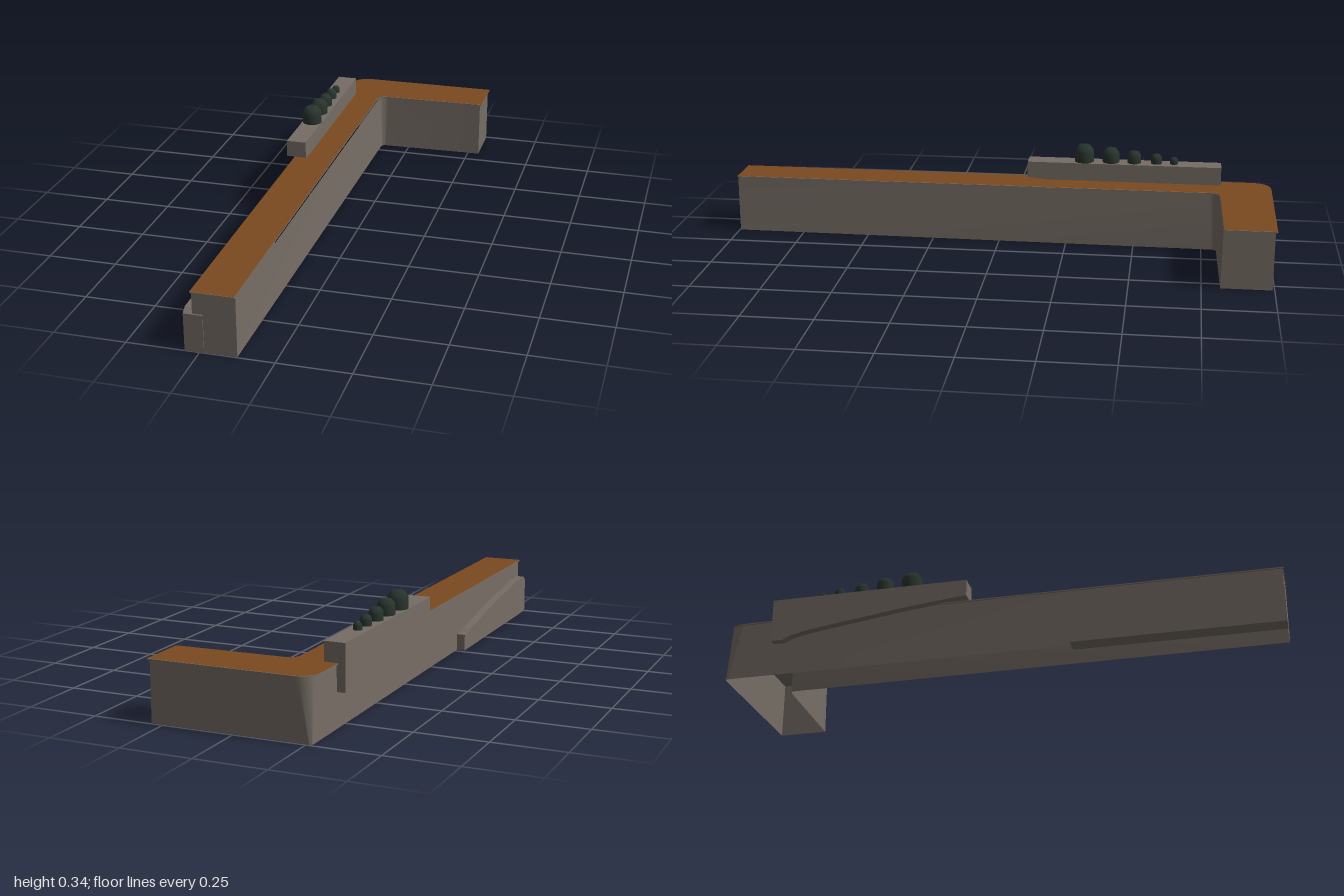
import * as THREE from 'three';
import { toCreasedNormals } from 'three/addons/utils/BufferGeometryUtils.js';

const mat = (name, color, side = THREE.FrontSide) => {
  const m = new THREE.MeshStandardMaterial({ color, side });
  m.name = name;
  return m;
};

// L-shaped plan, drawn in x and -z, with rounded outer and inner corners
function plan({ left, right, inner, innerZ, tip, tipZ, front, back, rOut, rIn }) {
  const s = new THREE.Shape();
  s.moveTo(left, -front);
  s.lineTo(right, -front);
  s.lineTo(inner, -innerZ - rIn);
  s.quadraticCurveTo(inner, -innerZ, inner + rIn, -innerZ);
  s.lineTo(tip, -tipZ);
  s.lineTo(tip, -back);
  s.lineTo(left + rOut, -back);
  s.quadraticCurveTo(left, -back, left, -back - rOut);
  s.lineTo(left, -front);
  return s;
}

// Walls joining a lower and an upper plan
function loft(lower, upper, y0, y1) {
  const a = lower.getPoints(8), b = upper.getPoints(8), pos = [];
  for (let i = 0; i < a.length - 1; i++) {
    const p = [a[i].x, y0, -a[i].y], q = [a[i + 1].x, y0, -a[i + 1].y];
    const r = [b[i + 1].x, y1, -b[i + 1].y], t = [b[i].x, y1, -b[i].y];
    pos.push(...p, ...q, ...r, ...p, ...r, ...t);
  }
  const g = new THREE.BufferGeometry();
  g.setAttribute('position', new THREE.Float32BufferAttribute(pos, 3));
  return toCreasedNormals(g, 0.8);
}

// Bar with a [z, y] side profile, running from x0 to x1
function bar(profile, x0, x1) {
  const s = new THREE.Shape(profile.map(([z, y]) => new THREE.Vector2(-z, y)));
  const g = new THREE.ExtrudeGeometry(s, { depth: x1 - x0, bevelEnabled: false });
  return g.rotateY(Math.PI / 2).translate(x0, 0, 0);
}

export function createModel() {
  const group = new THREE.Group();
  const stone = mat('stone grey', 0x766d65, THREE.DoubleSide);
  const wood = mat('wood brown', 0x7c4a20);
  const green = mat('dark green', 0x28332c);
  const add = (name, geometry, material) => {
    const m = new THREE.Mesh(geometry, material);
    m.name = name;
    group.add(m);
    return m;
  };

  // Counter walls, open underneath
  const lower = plan({ left: -0.27, right: -0.125, inner: -0.112, innerZ: -0.805,
    tip: 0.293, tipZ: -0.815, front: 0.997, back: -0.993, rOut: 0.012, rIn: 0.02 });
  const upper = plan({ left: -0.27, right: -0.125, inner: -0.123, innerZ: -0.81,
    tip: 0.293, tipZ: -0.818, front: 0.997, back: -0.993, rOut: 0.06, rIn: 0.04 });
  add('counterWalls', loft(lower, upper, 0, 0.209), stone);

  // Thin overhanging top: grey lip and wooden surface
  const top = plan({ left: -0.275, right: -0.128, inner: -0.128, innerZ: -0.812,
    tip: 0.298, tipZ: -0.82, front: 1, back: -1, rOut: 0.075, rIn: 0.04 });
  const lip = new THREE.ExtrudeGeometry(top, { depth: 0.004, bevelEnabled: false, curveSegments: 8 });
  add('topLip', lip.rotateX(-Math.PI / 2).translate(0, 0.208, 0), stone);
  add('woodTop', new THREE.ShapeGeometry(top, 8).rotateX(-Math.PI / 2).translate(0, 0.2132, 0), wood);

  // Stepped ledge rising along the outer side
  add('sideLedge', bar([[1, 0], [1, 0.133], [0.98, 0.148], [0.88, 0.148], [0.78, 0.13],
    [0.69, 0.125], [0.33, 0.07], [0.31, 0.06], [0.27, 0.06], [0.27, 0]], -0.3, -0.235), stone);

  // Raised shelf with a stepped, sloping underside
  add('raisedShelf', bar([[-0.095, 0.28], [-0.095, 0.22], [-0.22, 0.208], [-0.33, 0.196],
    [-0.67, 0.15], [-0.74, 0.135], [-0.77, 0.12], [-0.815, 0.12], [-0.815, 0.28]], -0.3, -0.227), stone);

  // Row of canisters shrinking toward the back
  const canister = toCreasedNormals(new THREE.LatheGeometry([[0, 0], [1, 0], [1, 1.1], [0.93, 1.28],
    [0.62, 1.7], [0.5, 1.75], [0, 1.75]].map(([r, y]) => new THREE.Vector2(r, y)), 20), 0.7);
  [[-0.305, 0.036], [-0.405, 0.031], [-0.492, 0.025], [-0.575, 0.02], [-0.64, 0.0145]].forEach(([z, r], i) => {
    const c = add('canister' + (i + 1), canister, green);
    c.position.set(-0.264, 0.28, z);
    c.scale.setScalar(r);
  });

  return group;
}
